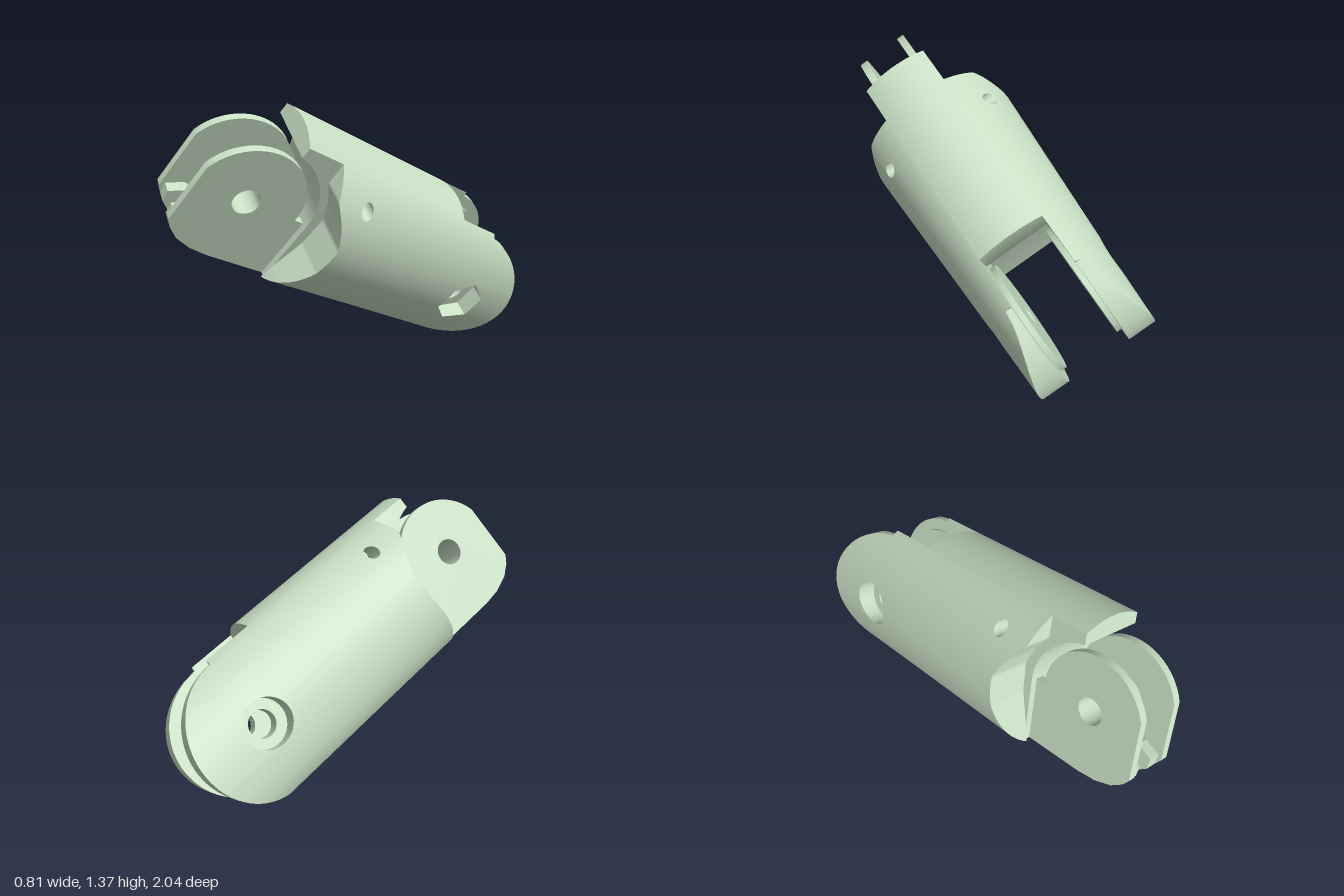
import * as THREE from 'three';
import { toCreasedNormals } from 'three/addons/utils/BufferGeometryUtils.js';

// Local frame: x = hinge axis, z = length of the segment, y = back of the finger
const R = 0.405, SLOT = 0.175, TOP = Math.sqrt(R * R - SLOT * SLOT);
const FRONT = { s: 0.99, y: -0.02 }, REAR = { s: -0.4, y: -0.02 };
const BOLT = 0.068;

const material = new THREE.MeshStandardMaterial({ color: 0xc8dfc4, side: THREE.DoubleSide });
material.name = 'pale green';

function add(group, geometry, name) {
  const flat = geometry.index ? geometry.toNonIndexed() : geometry;
  const mesh = new THREE.Mesh(toCreasedNormals(flat, 0.55), material);
  mesh.name = name;
  group.add(mesh);
  return mesh;
}

// Side profile (s along z, y up) extruded from x0 to x1
function plate(shape, x0, x1, steps = 1) {
  const g = new THREE.ExtrudeGeometry(shape, { depth: x1 - x0, steps, bevelEnabled: false, curveSegments: 40 });
  return g.rotateY(-Math.PI / 2).translate(x1, 0, 0);
}

function polygon(points) {
  return new THREE.Shape(points.map(([s, y]) => new THREE.Vector2(s, y)));
}

function boltHole(shape, c) {
  shape.holes.push(new THREE.Path().absarc(c.s, c.y, BOLT, 0, Math.PI * 2, true));
  return shape;
}

function arc(c, r, a0, a1, n = 24) {
  return Array.from({ length: n + 1 }, (_, i) => {
    const a = a0 + (a1 - a0) * i / n;
    return [c.s + r * Math.cos(a), c.y + r * Math.sin(a)];
  });
}

// Holes described by their half length at height y
const roundHole = (c, r) => ({
  ...c, r, half: y => Math.sqrt(Math.max(0, r * r - (y - c.y) ** 2)),
});
const hexHole = (c, r) => ({
  ...c, r, half: y => Math.max(0, Math.min(r * 0.866, (r - Math.abs(y - c.y)) * Math.sqrt(3))),
});

// Scooped front end and rounded rear end of the side walls
const scoop = [[-0.42, 0.68], [-0.3, 0.66], [-0.1, 0.61], [0.06, 0.605], [0.16, 0.655], [0.25, 0.725], [0.42, 0.73]];
function frontEnd(y) {
  const i = Math.max(1, scoop.findIndex(p => p[0] >= y));
  const [a, b] = [scoop[i - 1], scoop[i]];
  return a[1] + (b[1] - a[1]) * (y - a[0]) / (b[0] - a[0]);
}
const rearEnd = y => REAR.s - Math.sqrt(Math.max(0, 0.36 ** 2 - (y - REAR.y) ** 2));

// Outer skin: round, narrowing toward the rear
function skin(y, s) {
  const taper = 0.65 + 0.35 * THREE.MathUtils.clamp((s + 0.7) / 1.4, 0, 1);
  return SLOT + Math.max(0, Math.sqrt(Math.max(0, R * R - y * y)) - SLOT) * taper;
}

// Side wall made of thin strips, with a nut or head recess and a pin hole
function sideWall(recess) {
  const bolt = roundHole(REAR, BOLT), pin = roundHole({ s: 0.546, y: 0.258 }, 0.035);
  const floorX = 0.238, pos = [];
  let rows = Array.from({ length: 45 }, (_, i) => TOP * Math.sin((i / 44 - 0.5) * Math.PI));
  for (const h of [recess, bolt, pin])
    for (let i = 0; i <= 16; i++) rows.push(h.y - h.r * Math.cos(i / 16 * Math.PI));
  rows.push(recess.y - recess.r / 2, recess.y + recess.r / 2);
  rows = rows.filter(y => Math.abs(y) <= TOP + 1e-9).sort((a, b) => a - b).filter((y, i, l) => !i || y - l[i - 1] > 1e-4);

  const quad = (a, b, c, d) => pos.push(...a, ...b, ...c, ...a, ...c, ...d);
  const inner = () => SLOT, floor = () => floorX;
  // strip of surface between two lengths
  const sheet = (y0, y1, from, to, x, out) => {
    const p = (y, f) => [x(y, f(y)), y, f(y)];
    const c = [p(y0, from), p(y1, from), p(y1, to), p(y0, to)];
    quad(...(out ? c : c.reverse()));
  };
  // strip of end face or hole wall between two depths
  const wall = (y0, y1, at, xa, xb, ahead) => {
    const p = (y, x) => [x(y, at(y)), y, at(y)];
    const c = [p(y0, xa), p(y0, xb), p(y1, xb), p(y1, xa)];
    quad(...(ahead ? c : c.reverse()));
  };
  const lo = h => y => h.s - h.half(y), hi = h => y => h.s + h.half(y);

  for (let i = 1; i < rows.length; i++) {
    const a = rows[i - 1], b = rows[i];
    sheet(a, b, rearEnd, lo(recess), skin, true);
    sheet(a, b, hi(recess), lo(pin), skin, true);
    sheet(a, b, hi(pin), frontEnd, skin, true);
    sheet(a, b, rearEnd, lo(bolt), inner, false);
    sheet(a, b, hi(bolt), frontEnd, inner, false);
    wall(a, b, frontEnd, inner, skin, true);
    wall(a, b, rearEnd, inner, skin, false);
    const within = h => a > h.y - h.r - 1e-3 && b < h.y + h.r + 1e-3;
    for (const [h, x0, x1] of [[recess, floor, skin], [bolt, inner, floor], [pin, inner, skin]]) {
      if (!within(h)) continue;
      wall(a, b, lo(h), x0, x1, true);
      wall(a, b, hi(h), x0, x1, false);
    }
    if (within(recess)) {
      sheet(a, b, lo(recess), lo(bolt), floor, true);
      sheet(a, b, hi(bolt), hi(recess), floor, true);
    }
  }
  const g = new THREE.BufferGeometry();
  g.setAttribute('position', new THREE.Float32BufferAttribute(pos, 3));
  return g;
}

export function createModel() {
  const model = new THREE.Group();
  model.name = 'fingerSegment';
  const body = new THREE.Group();
  body.name = 'tiltedSegment';
  const tilt = THREE.MathUtils.degToRad(25), roll = THREE.MathUtils.degToRad(33);
  body.rotation.set(-tilt, 0, -roll);
  body.position.set(0, 0.585, -0.273);
  model.add(body);

  // Core between the side walls: flat underside, round top, overhanging stop at the front
  const core = plate(polygon([
    [-0.06, -TOP], [0.655, -TOP], [0.655, -0.02],
    ...arc(FRONT, 0.335, Math.PI, 1.75),
    [0.93, 0.4], [-0.14, 0.4], [-0.14, 0.22], [-0.08, 0.12], [-0.05, 0],
  ]), -SLOT, SLOT, 14);
  const p = core.attributes.position;
  for (let i = 0; i < p.count; i++)
    if (p.getY(i) > 0.39) p.setY(i, Math.sqrt(R * R - p.getX(i) ** 2));
  add(body, core, 'core');

  // Side walls ending in the rear fork arms, each with a washer boss inside
  const bossShape = boltHole(new THREE.Shape().absarc(REAR.s, REAR.y, 0.3, 0, Math.PI * 2), REAR);
  const recesses = { left: hexHole(REAR, 0.135), right: roundHole(REAR, 0.12) };
  for (const [side, sign] of [['left', 1], ['right', -1]]) {
    add(body, sideWall(recesses[side]), side + 'Wall').scale.x = sign;
    add(body, plate(bossShape, 0.148, SLOT), side + 'ForkBoss').scale.x = sign;
  }

  // Front hinge tongue: two cheeks with a grooved hub between them
  const cheek = boltHole(polygon([
    [0.6, -TOP], [0.98, -TOP], [1.08, -0.355], [1.17, -0.325], [1.23, -0.28], [1.26, -0.24],
    ...arc(FRONT, 0.285, 0.32, Math.PI), [0.6, -0.02],
  ]), FRONT);
  const hub = boltHole(polygon([
    [0.6, -TOP], [1.0, -TOP], [1.07, -0.3], [1.09, -0.2],
    ...arc(FRONT, 0.1, 0, Math.PI), [0.88, -0.16], [0.6, -0.2],
  ]), FRONT);
  const bridge = polygon([
    [0.98, -TOP], [1.08, -0.355], [1.17, -0.325], [1.23, -0.28], [1.24, -0.22], [1.16, -0.18], [1.04, -0.2],
  ]);
  add(body, plate(hub, -0.1, 0.1), 'hingeHub');
  for (const [side, sign] of [['left', 1], ['right', -1]]) {
    add(body, plate(cheek, 0.1, 0.14), side + 'HingeCheek').scale.x = sign;
    add(body, plate(bridge, 0.04, 0.1), side + 'CordGuide').scale.x = sign;
  }
  return model;
}
